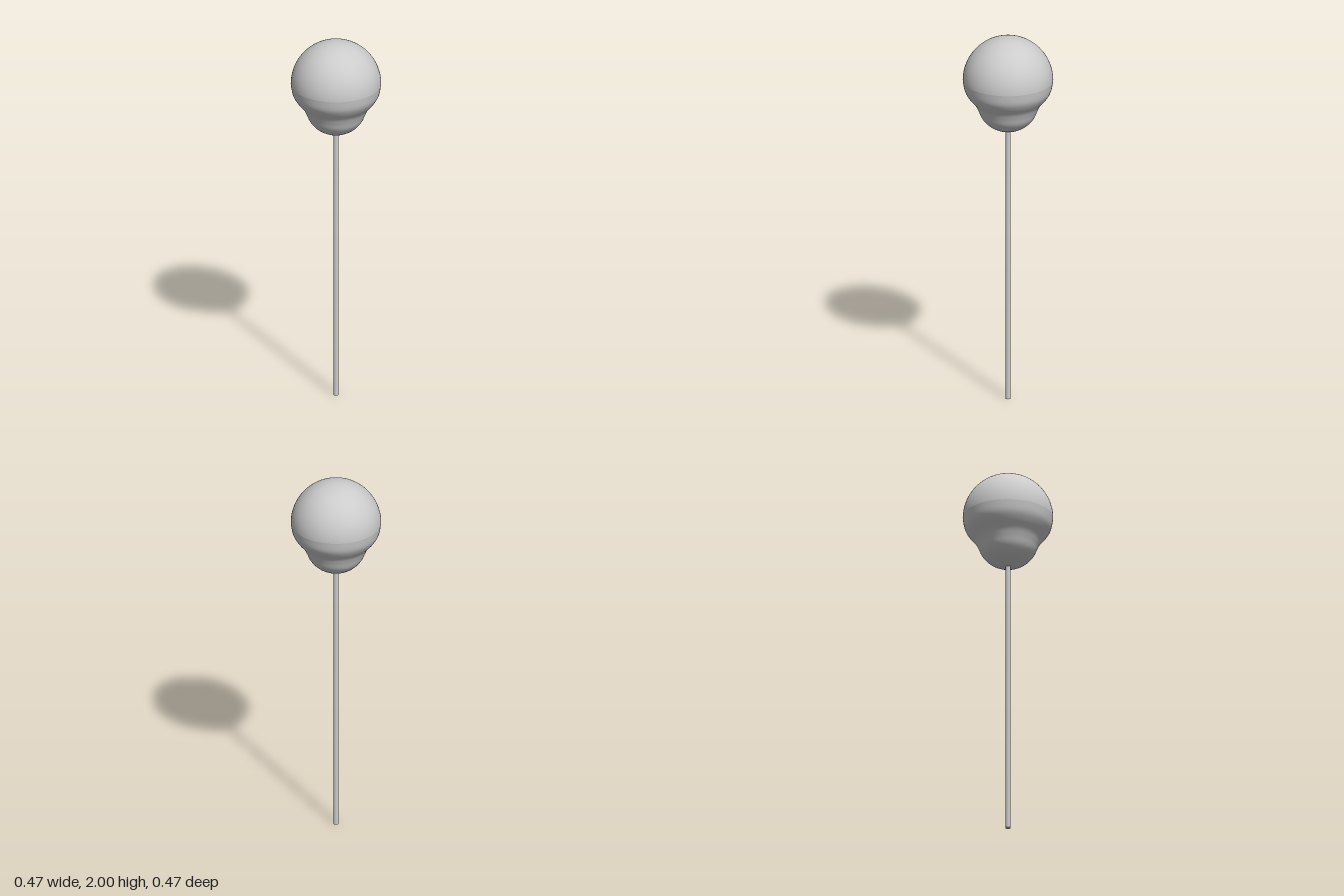
import * as THREE from 'three';

const material = new THREE.MeshStandardMaterial({ color: 0xcccccc });
const RADIUS = 0.234;
const WIDEST = 2 - RADIUS; // height of the head's equator

function addPart(group, name, geometry, y = 0) {
  const mesh = new THREE.Mesh(geometry, material);
  mesh.name = name;
  mesh.position.y = y;
  group.add(mesh);
}

export function createModel() {
  const group = new THREE.Group();
  group.name = 'ballOnStick';

  // Round upper half of the head
  addPart(group, 'headDome',
    new THREE.SphereGeometry(RADIUS, 64, 24, 0, Math.PI * 2, 0, Math.PI / 2), WIDEST);

  // Lower half: pinches in at a soft neck, then closes in a smaller bulb
  const profile = new THREE.SplineCurve([
    [0, 1.487], [0.05, 1.495], [0.1, 1.522], [0.135, 1.56], [0.155, 1.604],
    [0.172, 1.637], [0.203, 1.675], [0.224, 1.713], [RADIUS, WIDEST],
  ].map(([r, y]) => new THREE.Vector2(r, y)));
  const points = profile.getPoints(48);
  points.forEach((p) => { p.x = Math.max(p.x, 0); });
  addPart(group, 'lowerBulb', new THREE.LatheGeometry(points, 64));

  // Straight thin stick
  const length = 1.5;
  addPart(group, 'stick', new THREE.CylinderGeometry(0.0135, 0.0135, length, 24), length / 2);

  return group;
}
